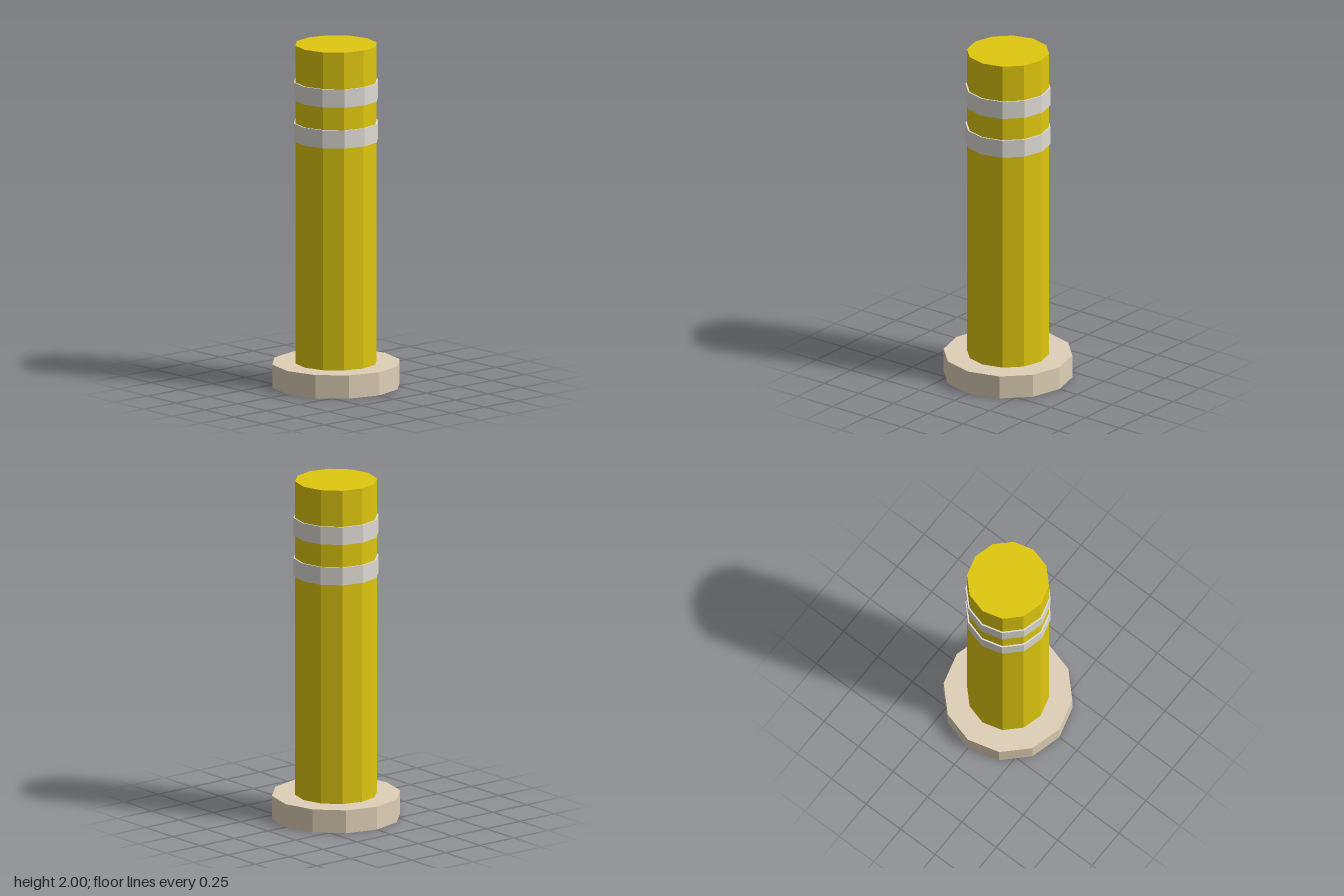
import * as THREE from 'three';

const SIDES = 12;

export function createModel() {
  const model = new THREE.Group();
  model.name = 'bollard';

  const material = (name, color) => {
    const m = new THREE.MeshStandardMaterial({ color });
    m.name = name;
    m.flatShading = true;
    return m;
  };
  const yellow = material('yellow paint', 0xe0c810);
  const concrete = material('pale concrete', 0xe0d0b6);
  const reflective = material('reflective grey', 0xdfdcd5);

  // Upright twelve-sided prism between two heights
  const prism = (name, radius, bottom, top, mat) => {
    const geometry = new THREE.CylinderGeometry(radius, radius, top - bottom, SIDES);
    const mesh = new THREE.Mesh(geometry, mat);
    mesh.name = name;
    mesh.position.y = (bottom + top) / 2;
    model.add(mesh);
  };

  // Post runs right through the base, its foot just proud of the underside
  prism('post', 0.237, 0, 2, yellow);
  prism('base', 0.372, 0.001, 0.137, concrete);

  // Reflective bands around the upper post
  prism('lowerBand', 0.246, 1.44, 1.545, reflective);
  prism('upperBand', 0.246, 1.68, 1.785, reflective);

  return model;
}
